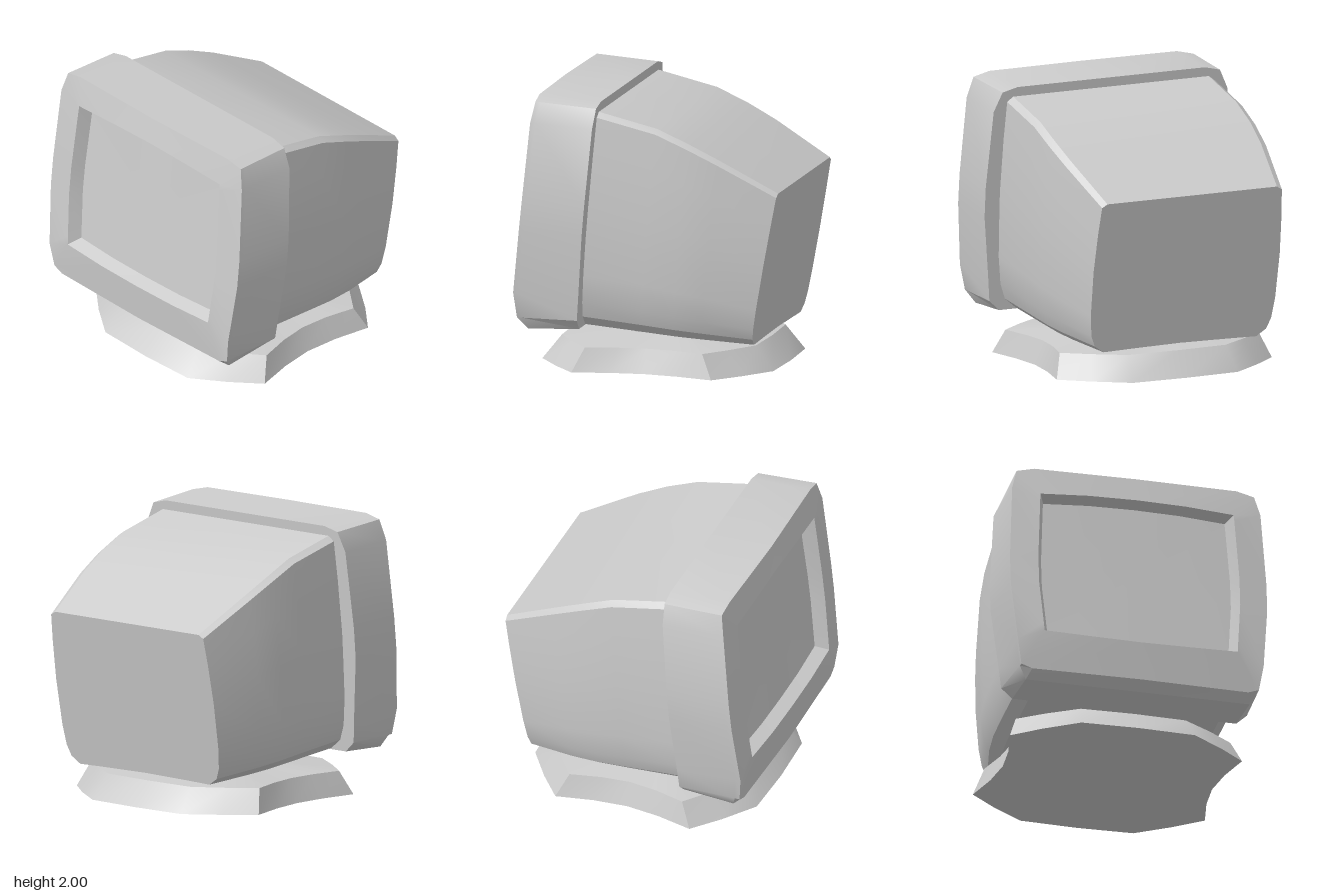
import * as THREE from 'three';
import { toCreasedNormals } from 'three/addons/utils/BufferGeometryUtils.js';

const material = new THREE.MeshStandardMaterial({ color: 0xcccccc });
const lerp = THREE.MathUtils.lerp;

// Completes a half outline (first and last points on x = 0) by mirroring it across x.
function mirrorRing(half) {
  const other = half.slice(1, -1).reverse().map(([x, y, z]) => [-x, y, z]);
  return [...half, ...other];
}

// Skins a run of equal-length half outlines and closes both ends with fans.
function loft(name, halves, crease = 0.5) {
  const rings = halves.map(mirrorRing);
  const n = rings[0].length;
  const pos = [];
  const tri = (a, b, c) => pos.push(...a, ...b, ...c);
  for (let i = 0; i < rings.length - 1; i++) {
    for (let j = 0; j < n; j++) {
      const k = (j + 1) % n;
      const [a, b, c, d] = [rings[i][j], rings[i][k], rings[i + 1][k], rings[i + 1][j]];
      tri(a, b, c);
      tri(a, c, d);
    }
  }
  const cap = (ring, flip) => {
    const m = ring.length / 2;
    const centre = [0, 1, 2].map((q) => (ring[0][q] + ring[m][q]) / 2);
    for (let j = 0; j < n; j++) {
      const k = (j + 1) % n;
      if (flip) tri(centre, ring[k], ring[j]);
      else tri(centre, ring[j], ring[k]);
    }
  };
  cap(rings[0], true);
  cap(rings[rings.length - 1], false);
  const geo = new THREE.BufferGeometry();
  geo.setAttribute('position', new THREE.Float32BufferAttribute(pos, 3));
  const mesh = new THREE.Mesh(toCreasedNormals(geo, crease), material);
  mesh.name = name;
  return mesh;
}

// Depth of the leaning, gently bowed front face.
function frontZ(x, y) {
  const profile = [[2, 0.8], [1.82, 0.84], [0.57, 0.968], [0.35, 0.94]];
  let i = 0;
  while (i < 2 && y < profile[i + 1][0]) i++;
  const [y0, z0] = profile[i];
  const [y1, z1] = profile[i + 1];
  return lerp(z0, z1, (y - y0) / (y1 - y0)) - 0.035 * (x / 0.95) ** 4;
}

// Front bezel with the recessed screen, skinned from the glass outwards and back.
function createBezel() {
  const outer = [[0, 2], [0.75, 2], [0.88, 1.97], [0.92, 1.82], [0.95, 1.25],
    [0.95, 1.03], [0.91, 0.57], [0.88, 0.385], [0.8, 0.355], [0, 0.355]];
  const opening = [[0, 1.815], [0.36, 1.808], [0.715, 1.787], [0.719, 1.74], [0.745, 1.27],
    [0.745, 1.05], [0.72, 0.72], [0.715, 0.655], [0.36, 0.643], [0, 0.638]];
  const rear = [[0, 1.97], [0.75, 1.97], [0.87, 1.94], [0.935, 1.8], [0.975, 1.24],
    [0.975, 1.02], [0.925, 0.55], [0.91, 0.39], [0.83, 0.315], [0, 0.315]];
  const front = ([x, y]) => [x, y, frontZ(x, y)];
  const glass = opening.map(([x, y]) => [x * 0.94, 1.225 + (y - 1.225) * 0.94, frontZ(x, y) - 0.095]);
  const F = outer.map(front);
  const B = rear.map(([x, y]) => [x, y, 0.33 + (1.97 - y) * 0.085]);
  // Chamfer under the chin
  const M = F.map((p, j) => (j < 8
    ? p.map((v, q) => lerp(v, B[j][q], 0.08))
    : [j === 8 ? 0.83 : 0, 0.297, 0.85]));
  return loft('bezel', [glass, opening.map(front), F, M, B]);
}

// Tapering rear housing: one outline fitted between top and bottom guide lines.
function createHousing() {
  const outline = [[0, 1], [0.91, 1], [0.965, 0.978], [0.985, 0.8], [1, 0.55],
    [0.99, 0.25], [0.965, 0.12], [0.92, 0.05], [0.82, 0.005], [0.5, 0.01], [0, 0.015]];
  // top z, top y, bottom z, bottom y, half width
  const sections = [
    [0.35, 1.905, 0.46, 0.32, 0.86],
    [-0.1, 1.8, 0.02, 0.285, 0.86],
    [-0.33, 1.7, -0.22, 0.265, 0.855],
    [-0.55, 1.59, -0.42, 0.25, 0.83],
    [-0.97, 1.355, -0.77, 0.22, 0.745],
  ];
  return loft('rearHousing', sections.map(([tz, ty, bz, by, w]) =>
    outline.map(([u, v]) => [u * w, lerp(by, ty, v), lerp(bz, tz, v)])));
}

// Flared foot with waisted sides, rising to a short neck.
function createStand() {
  const quarter = [[0, -0.875], [0.42, -0.86], [0.66, -0.69], [0.86, -0.52], [0.8, -0.25]];
  const foot = [...quarter, [0.775, 0], ...quarter.slice().reverse().map(([x, z]) => [x, -z])];
  const level = (sx, sz, y) => foot.map(([x, z]) => [x * sx, y, z * sz]);
  return loft('stand', [
    level(0.45, 0.33, 0.3),
    level(0.45, 0.33, 0.225),
    level(0.925, 0.84, 0.175),
    level(1, 1, 0),
  ], 0.6);
}

export function createModel() {
  const model = new THREE.Group();
  model.name = 'monitor';
  model.add(createBezel(), createHousing(), createStand());
  return model;
}
